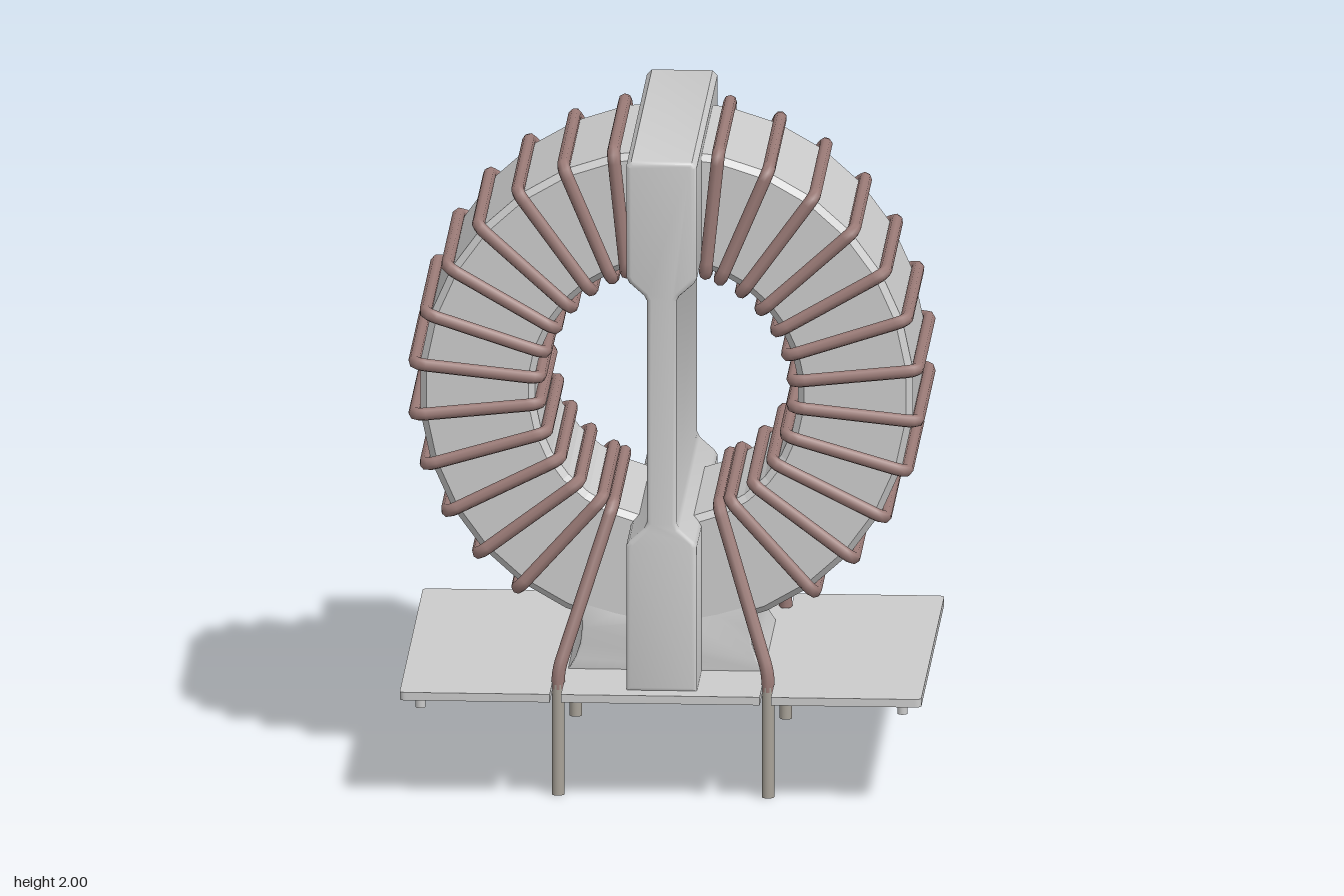
import * as THREE from 'three';
import { toCreasedNormals } from 'three/addons/utils/BufferGeometryUtils.js';

const CORE_Y = 1.22;
const WIRE_R = 0.02;

const grey = new THREE.MeshStandardMaterial({ color: 0xcccccc });
const facetedGrey = new THREE.MeshStandardMaterial({ color: 0xcccccc, flatShading: true });
const copper = new THREE.MeshStandardMaterial({ color: 0x9c7c78 });
const tinned = new THREE.MeshStandardMaterial({ color: 0xa8a298 });

const V = (x, y, z) => new THREE.Vector3(x, y, z);

function part(parent, name, geometry, material) {
  const mesh = new THREE.Mesh(geometry, material);
  mesh.name = name;
  parent.add(mesh);
  return mesh;
}

// Straight runs joined by rounded bends, swept as round wire
function wire(points, closed, segments, bend = 0.035) {
  const path = new THREE.CurvePath();
  const n = points.length;
  const toward = (a, b) => a.clone().add(b.clone().sub(a).setLength(bend));
  let last = closed ? toward(points[0], points[1]) : points[0];
  const first = last;
  for (let i = 1; i <= (closed ? n : n - 2); i++) {
    const p = points[i % n];
    const a = toward(p, points[i - 1]);
    const b = toward(p, points[(i + 1) % n]);
    path.add(new THREE.LineCurve3(last, a));
    path.add(new THREE.QuadraticBezierCurve3(a, p, closed && i === n ? first : b));
    last = b;
  }
  if (!closed) path.add(new THREE.LineCurve3(last, points[n - 1]));
  return new THREE.TubeGeometry(path, segments, WIRE_R, 8, closed);
}

// Extrusion of an XY outline, centred on z = 0
function slab(outline, depth, bevel) {
  const shape = Array.isArray(outline)
    ? new THREE.Shape(outline.map(([x, y]) => new THREE.Vector2(x, y))) : outline;
  const g = new THREE.ExtrudeGeometry(shape, {
    depth: depth - 2 * bevel, bevelEnabled: bevel > 0, bevelSize: bevel,
    bevelThickness: bevel, bevelOffset: -bevel, bevelSegments: 3, curveSegments: 5,
  });
  g.translate(0, 0, -depth / 2 + bevel);
  return toCreasedNormals(g, 0.6);
}

const mirrorOutline = (half) => [...half, ...half.map(([x, y]) => [-x, y]).reverse()];

function createCore() {
  const ri = 0.4, ro = 0.75, h = 0.315, c = 0.02;
  const profile = [
    [ri, -h + c], [ri + c, -h], [ro - c, -h], [ro, -h + c],
    [ro, h - c], [ro - c, h], [ri + c, h], [ri, h - c], [ri, -h + c],
  ].map(([x, y]) => new THREE.Vector2(x, y));
  const g = new THREE.LatheGeometry(profile, 30);
  g.rotateX(-Math.PI / 2);
  g.translate(0, CORE_Y, 0);
  return g;
}

// Base plate outline with two wire slots in the front and back edges
function createPlate() {
  const X = 0.79, Z = 0.632, c = 0.02, slot = 0.318, w = 0.017, end = 0.47;
  const s = new THREE.Shape();
  s.moveTo(-X + c, -Z);
  for (const x of [-slot, slot]) {
    s.lineTo(x - w, -Z);
    s.lineTo(x - w, -end);
    s.absarc(x, -end, w, Math.PI, 0, true);
    s.lineTo(x + w, -Z);
  }
  s.lineTo(X - c, -Z);
  s.quadraticCurveTo(X, -Z, X, -Z + c);
  s.lineTo(X, Z - c);
  s.quadraticCurveTo(X, Z, X - c, Z);
  for (const x of [slot, -slot]) {
    s.lineTo(x + w, Z);
    s.lineTo(x + w, end);
    s.absarc(x, end, w, 0, -Math.PI, true);
    s.lineTo(x - w, Z);
  }
  s.lineTo(-X + c, Z);
  s.quadraticCurveTo(-X, Z, -X, Z - c);
  s.lineTo(-X, -Z + c);
  s.quadraticCurveTo(-X, -Z, -X + c, -Z);
  const g = slab(s, 0.025, 0);
  g.rotateX(-Math.PI / 2);
  g.translate(0, 0.3375, 0);
  return g;
}

// One winding: twelve turns and a last pass whose ends run down to the pins
function createWinding(side) {
  const group = new THREE.Group();
  group.name = side > 0 ? 'leftWinding' : 'rightWinding';
  const at = (r, deg, z) => {
    const a = THREE.MathUtils.degToRad(deg);
    return V(side * r * Math.sin(a), CORE_Y + r * Math.cos(a), z);
  };
  const z = 0.335, inner = 0.385, outer = 0.766;
  for (let k = 0; k < 12; k++) {
    const a = 12 + 12 * k;
    // Inner ends lean away from the divider
    const lean = k === 0 ? 6 : k === 1 ? 1 : Math.min(6, Math.max(0, (k - 7) * 1.7));
    const turn = [at(outer, a, z), at(inner, a + lean, z), at(inner, a + lean, -z), at(outer, a, -z)];
    part(group, 'turn', wire(turn, true, 100), copper);
  }
  const px = side * 0.318, pz = 0.48, lx = side * 0.16;
  part(group, 'leads', wire([
    V(px, 0.33, pz), V(px, 0.385, pz), V(lx, 0.87, z),
    V(lx, 0.87, -z), V(px, 0.385, -pz), V(px, 0.33, -pz),
  ], false, 110), copper);
  for (const s of [1, -1]) {
    const pin = part(group, 'pin', new THREE.CylinderGeometry(0.019, 0.019, 0.345, 16), tinned);
    pin.position.set(px, 0.1725, s * pz);
  }
  return group;
}

export function createModel() {
  const model = new THREE.Group();
  model.name = 'toroidalChoke';

  part(model, 'core', createCore(), facetedGrey);

  // Upright divider through the middle of the ring
  part(model, 'divider', slab(mirrorOutline([
    [0.107, 0.345], [0.107, 0.8], [0.098, 0.815], [0.053, 0.855], [0.045, 0.872],
    [0.045, 1.565], [0.053, 1.58], [0.098, 1.62], [0.107, 1.638],
    [0.107, 1.985], [0.092, 2],
  ]), 1.14, 0.014), grey);

  // Flared pedestal under the ring
  part(model, 'pedestal', slab(mirrorOutline([
    [0.3, 0.345], [0.275, 0.385], [0.26, 0.43], [0.255, 0.48], [0.258, 0.56],
    [0.15, 0.53], [0.05, 0.51],
  ]), 0.63, 0.006), grey);

  part(model, 'basePlate', createPlate(), grey);
  for (const x of [-0.73, 0.73]) {
    for (const z of [-0.572, 0.572]) {
      const foot = part(model, 'standoff', new THREE.CylinderGeometry(0.015, 0.015, 0.04, 12), grey);
      foot.position.set(x, 0.31, z);
    }
  }

  model.add(createWinding(1), createWinding(-1));
  return model;
}
